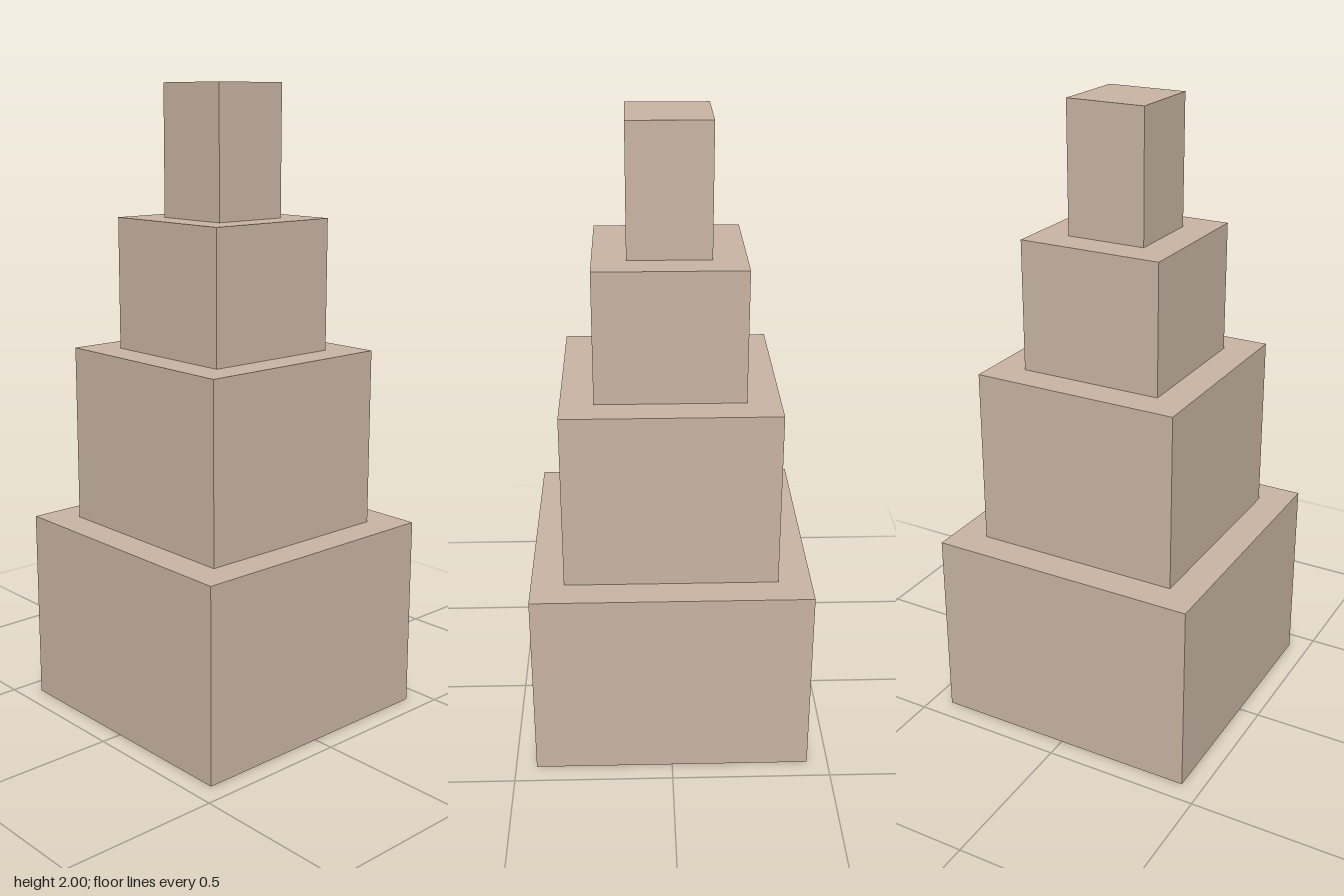
import * as THREE from 'three';

// Square stepped tower: each tier is a plain block standing on the one below.
const TIERS = [
  { name: 'baseTier', width: 0.868, bottom: 0, top: 0.617 },
  { name: 'lowerTier', width: 0.663, bottom: 0.617, top: 1.18 },
  { name: 'upperTier', width: 0.459, bottom: 1.18, top: 1.593 },
  { name: 'topTier', width: 0.254, bottom: 1.593, top: 2 },
];

export function createModel() {
  const model = new THREE.Group();
  model.name = 'steppedTower';

  const stone = new THREE.MeshStandardMaterial({ color: 0xc8b4a3 });
  stone.name = 'warm beige stone';

  for (const { name, width, bottom, top } of TIERS) {
    const tier = new THREE.Mesh(new THREE.BoxGeometry(width, top - bottom, width), stone);
    tier.name = name;
    tier.position.y = (bottom + top) / 2;
    model.add(tier);
  }
  return model;
}
